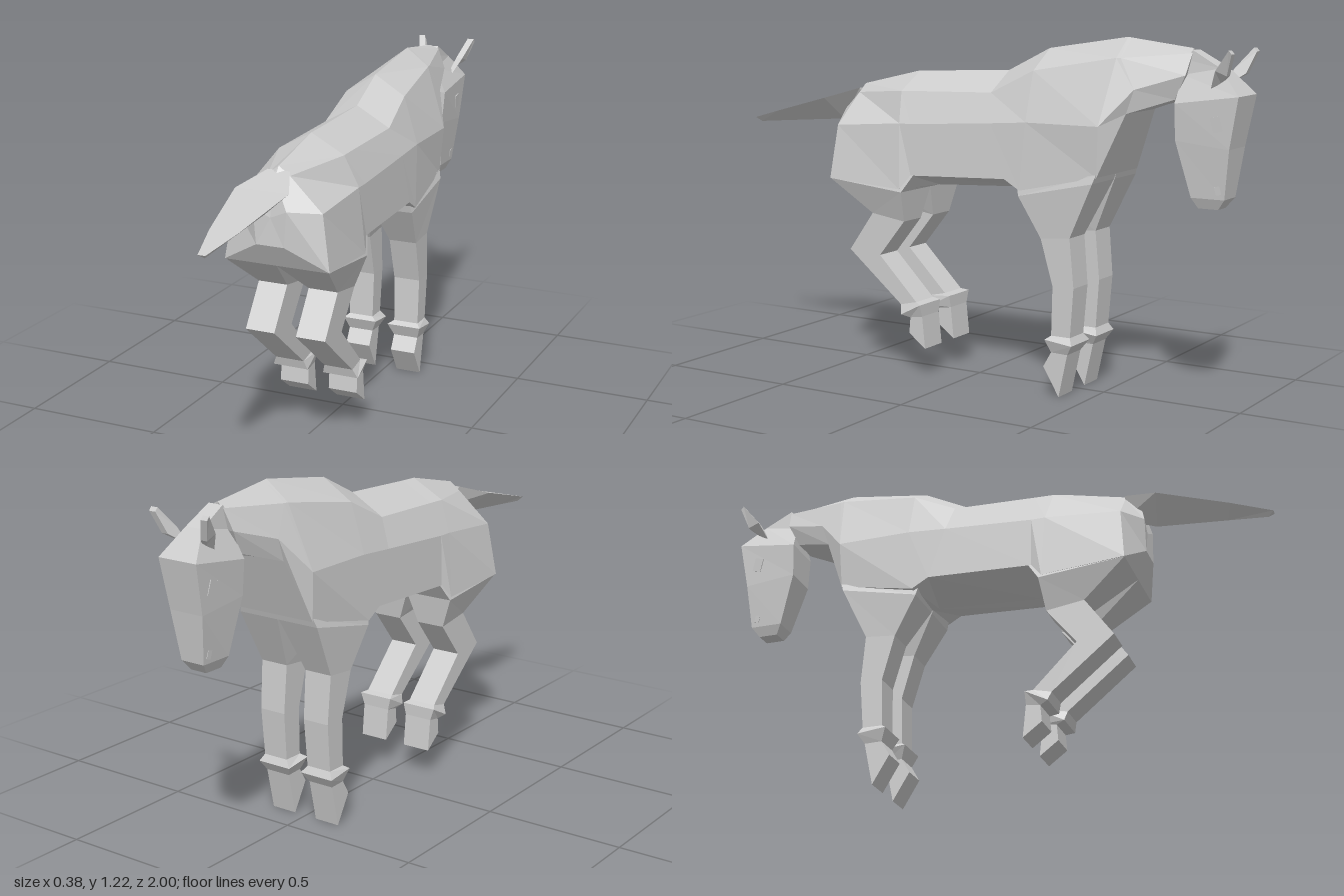
import * as THREE from 'three';

const coat = new THREE.MeshStandardMaterial({ color: 0xcccccc, flatShading: true });
coat.name = 'pale grey coat';

// Closed faceted skin through rings of [x, y, z] points, ends capped
function loft(name, rings) {
  const tris = [];
  const n = rings[0].length;
  for (let r = 0; r < rings.length - 1; r++) {
    for (let i = 0; i < n; i++) {
      const j = (i + 1) % n;
      const a = rings[r][i], b = rings[r][j], c = rings[r + 1][j], d = rings[r + 1][i];
      tris.push([a, b, c], [a, c, d]);
    }
  }
  const cap = (ring, flip) => {
    const mid = [0, 1, 2].map(k => ring.reduce((s, p) => s + p[k], 0) / n);
    ring.forEach((p, i) => {
      const q = ring[(i + 1) % n];
      tris.push(flip ? [mid, q, p] : [mid, p, q]);
    });
  };
  cap(rings[0], true);
  cap(rings[rings.length - 1], false);
  // Turn the skin outward when its signed volume is negative
  const v = tris.map(t => t.map(p => new THREE.Vector3(...p)));
  const volume = v.reduce((s, [a, b, c]) => s + a.dot(b.clone().cross(c)), 0);
  if (volume < 0) v.forEach(t => t.reverse());
  const geo = new THREE.BufferGeometry().setFromPoints(v.flat());
  geo.computeVertexNormals();
  const mesh = new THREE.Mesh(geo, coat);
  mesh.name = name;
  return mesh;
}

// Half ring from top centre to bottom centre, mirrored to a full ring
const mirrorRing = half => [
  ...half,
  ...half.slice(1, -1).reverse().map(([x, y, z]) => [-x, y, z]),
];

// Four-cornered ring: inner/outer x, front z/y, back z/y
const quad = (side, [xi, xo, zf, yf, zb, yb]) => [
  [side * xi, yf, zf], [side * xo, yf, zf], [side * xo, yb, zb], [side * xi, yb, zb],
];

export function createModel() {
  const group = new THREE.Group();
  group.name = 'horse';

  // Body and neck, from rump to poll
  group.add(loft('body', [
    [[0, 0.96, 0.54], [0.04, 0.93, 0.55], [0.06, 0.89, 0.56], [0.05, 0.77, 0.56], [0, 0.77, 0.56]],
    [[0, 1.02, 0.49], [0.04, 0.99, 0.49], [0.16, 0.88, 0.5], [0.19, 0.69, 0.515], [0, 0.69, 0.515]],
    [[0, 1.075, 0.25], [0.12, 1.01, 0.25], [0.165, 0.9, 0.23], [0.185, 0.67, 0.22], [0, 0.66, 0.21]],
    [[0, 1.077, 0.18], [0.12, 1.012, 0.18], [0.165, 0.9, 0.18], [0.17, 0.72, 0.18], [0, 0.67, 0.17]],
    [[0, 1.09, -0.12], [0.123, 1.02, -0.12], [0.165, 0.92, -0.14], [0.17, 0.735, -0.2], [0, 0.69, -0.22]],
    [[0, 1.17, -0.28], [0.113, 1.1, -0.28], [0.165, 0.93, -0.28], [0.17, 0.7, -0.26], [0, 0.69, -0.25]],
    [[0, 1.215, -0.575], [0.085, 1.15, -0.575], [0.162, 0.93, -0.55], [0.15, 0.76, -0.54], [0, 0.76, -0.54]],
    [[0, 1.213, -0.59], [0.083, 1.15, -0.59], [0.105, 1.05, -0.65], [0.1, 0.97, -0.62], [0, 0.97, -0.62]],
    [[0, 1.185, -0.81], [0.03, 1.17, -0.82], [0.06, 1.1, -0.81], [0.05, 1.02, -0.77], [0, 1.01, -0.76]],
  ].map(mirrorRing)));

  // Head, from muzzle to poll: half width, front z/y, back z/y
  group.add(loft('head', [
    [0.03, -0.92, 0.67, -0.85, 0.67],
    [0.045, -0.947, 0.705, -0.83, 0.705],
    [0.065, -0.968, 0.87, -0.78, 0.89],
    [0.075, -1, 1.04, -0.78, 1.01],
    [0.033, -0.92, 1.125, -0.79, 1.1],
    [0.028, -0.82, 1.18, -0.79, 1.15],
  ].map(([w, ...r]) => quad(1, [-w, w, ...r]))));

  // Tail with a keel below
  group.add(loft('tail', [
    [0.04, 1.005, 0.49, 0.93],
    [0.095, 0.967, 0.61, 0.885],
    [0.05, 0.905, 0.86, 0.866],
    [0.013, 0.87, 1, 0.855],
  ].map(([w, y, z, k]) => [[-w, y, z], [w, y, z], [0, k, z - 0.02]])));

  const frontLegRings = [
    [0, 0.152, -0.54, 0.77, -0.24, 0.72],
    [0.003, 0.16, -0.53, 0.74, -0.25, 0.68],
    [0.04, 0.145, -0.44, 0.55, -0.33, 0.54],
    [0.042, 0.142, -0.455, 0.38, -0.375, 0.38],
    [0.045, 0.14, -0.442, 0.21, -0.37, 0.21],
    [0.025, 0.155, -0.455, 0.185, -0.352, 0.197],
    [0.045, 0.14, -0.432, 0.15, -0.37, 0.152],
    [0.045, 0.14, -0.4, 0, -0.34, 0.1],
  ];
  const hindLegRings = [
    [0, 0.17, 0.17, 0.72, 0.5, 0.75],
    [0, 0.187, 0.21, 0.66, 0.515, 0.69],
    [0.04, 0.147, 0.225, 0.55, 0.36, 0.57],
    [0.04, 0.147, 0.33, 0.42, 0.46, 0.43],
    [0.04, 0.147, 0.175, 0.265, 0.24, 0.25],
    [0.03, 0.162, 0.15, 0.258, 0.23, 0.217],
    [0.04, 0.147, 0.15, 0.215, 0.2, 0.207],
    [0.04, 0.147, 0.138, 0.1, 0.205, 0.15],
  ];

  for (const side of [1, -1]) {
    const label = side > 0 ? 'left' : 'right';
    group.add(loft(label + 'FrontLeg', frontLegRings.map(r => quad(side, r))));
    group.add(loft(label + 'HindLeg', hindLegRings.map(r => quad(side, r))));

    // Upswept ear blade
    group.add(loft(label + 'Ear', [
      [0.04, 0.055, -0.93, 1.08, -0.895, 1.055],
      [0.065, 0.09, -0.965, 1.105, -0.925, 1.12],
      [0.09, 0.115, -0.99, 1.175, -0.98, 1.187],
    ].map(r => quad(side, r))));

    // Small raised eye and nostril
    for (const [part, x, y, z, s] of [['Eye', 0.068, 0.95, -0.925, 0.05], ['Nostril', 0.046, 0.735, -0.925, 0.028]]) {
      const plate = new THREE.Mesh(new THREE.BoxGeometry(0.009, s, s * 0.65), coat);
      plate.name = label + part;
      plate.position.set(side * x, y, z);
      plate.rotation.set(0.25, 0, -side * 0.08);
      group.add(plate);
    }
  }
  return group;
}
